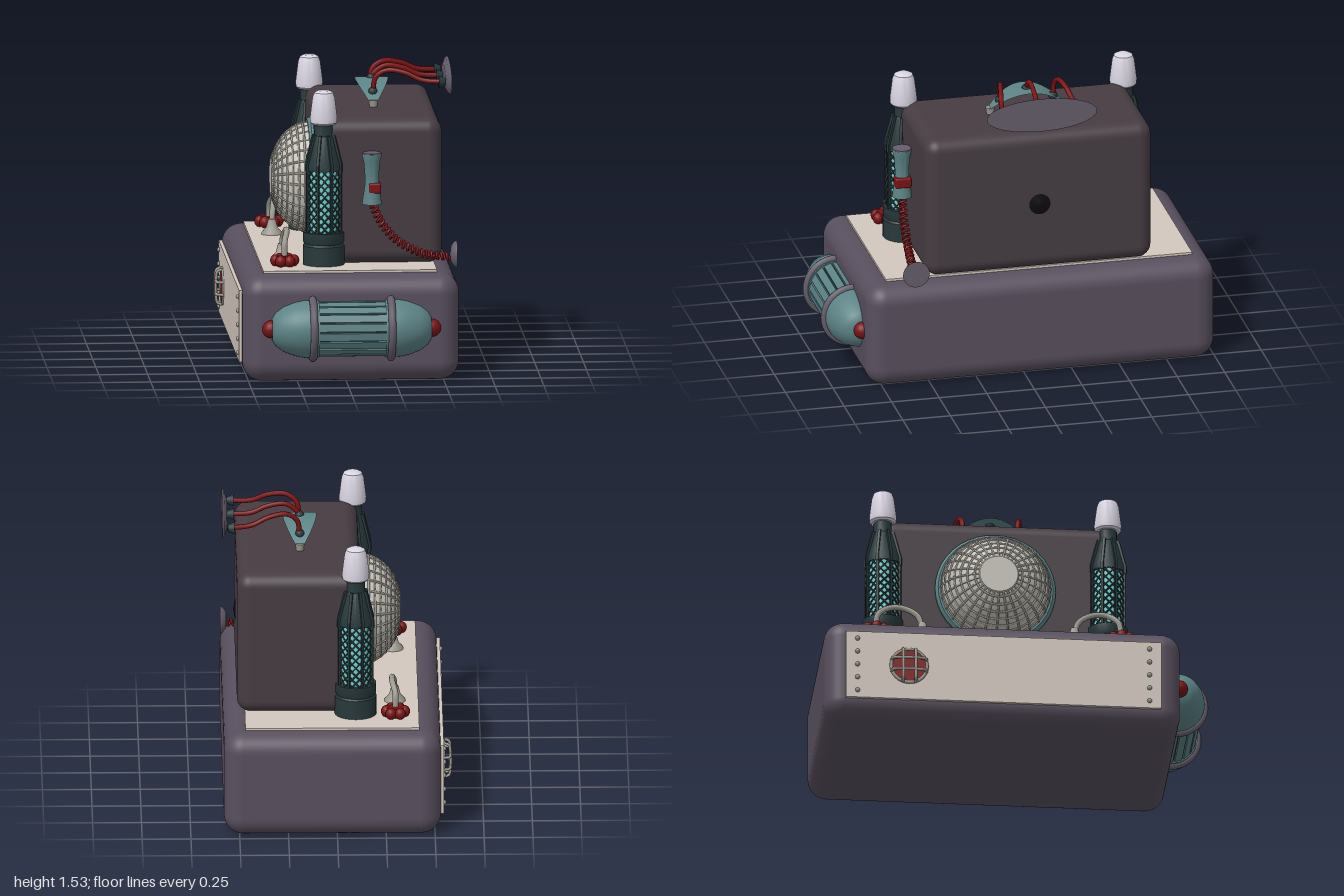
import * as THREE from 'three';
import { RoundedBoxGeometry } from 'three/addons/geometries/RoundedBoxGeometry.js';
import { toCreasedNormals } from 'three/addons/utils/BufferGeometryUtils.js';

const mat = (color, side = THREE.FrontSide) => new THREE.MeshStandardMaterial({ color, side });
const M = {
  shell: mat(0x584f5e), box: mat(0x463c42), cream: mat(0xd3c8be), teal: mat(0x5c8386, THREE.DoubleSide),
  dark: mat(0x27383b), red: mat(0x7c1214), grey: mat(0x9c9a90), pale: mat(0xc9c5bd), white: mat(0xd9d5e2),
  glow: mat(0x74d2d2), black: mat(0x0c0c0c), purple: mat(0x655d6b, THREE.DoubleSide),
};
const V = (x, y, z) => new THREE.Vector3(x, y, z);

function add(parent, name, geo, material, x = 0, y = 0, z = 0) {
  const m = new THREE.Mesh(geo, material);
  m.name = name;
  m.position.set(x, y, z);
  parent.add(m);
  return m;
}
function group(parent, name, x = 0, y = 0, z = 0) {
  const g = new THREE.Group();
  g.name = name;
  g.position.set(x, y, z);
  parent.add(g);
  return g;
}
const cyl = (rTop, rBottom, h, n = 32) => new THREE.CylinderGeometry(rTop, rBottom, h, n);
const lathe = (pts, n = 40) =>
  toCreasedNormals(new THREE.LatheGeometry(pts.map(p => new THREE.Vector2(...p)), n), 0.6);
const tube = (pts, r, n = 24, sides = 8) =>
  new THREE.TubeGeometry(new THREE.CatmullRomCurve3(pts), n, r, sides);

// Tower: footing, glowing core in a diamond mesh, buttressed cone and white bulb
function tower(parent, name, z) {
  const g = group(parent, name, -0.097, 0, z);
  add(g, 'footing', lathe([[0, 0.55], [0.107, 0.55], [0.107, 0.66], [0.1, 0.67], [0.105, 0.68], [0.105, 0.73], [0, 0.73]], 24), M.dark);
  add(g, 'core', cyl(0.08, 0.08, 0.34), M.glow, 0, 0.895, 0);
  const n = 14;
  for (let k = 0; k < n; k++) for (const dir of [-1, 1]) {
    const pts = [];
    for (let i = 0; i <= 16; i++) {
      const a = Math.PI * 2 * (k + dir * 8 * i / 16) / n;
      pts.push(V(0.087 * Math.cos(a), 0.73 + 0.33 * i / 16, 0.087 * Math.sin(a)));
    }
    add(g, 'meshWire', tube(pts, 0.0045, 24, 4), M.dark);
  }
  const fin = new THREE.Shape([[0.03, 1.04], [0.1, 1.04], [0.1, 1.08], [0.062, 1.23], [0.03, 1.23]].map(p => new THREE.Vector2(...p)));
  for (let k = 0; k < 8; k++) {
    const spoke = group(g, 'buttress');
    spoke.rotation.y = (k + 0.5) * Math.PI / 4;
    add(spoke, 'rib', new THREE.BoxGeometry(0.014, 0.34, 0.012), M.dark, 0.09, 0.895, 0);
    add(spoke, 'fin', new THREE.ExtrudeGeometry(fin, { depth: 0.014, bevelEnabled: false }), M.dark, 0, 0, -0.007);
  }
  add(g, 'cone', lathe([[0, 1.05], [0.092, 1.05], [0.09, 1.08], [0.052, 1.22], [0.047, 1.225], [0.047, 1.3], [0, 1.3]], 16), M.dark);
  add(g, 'bulb', lathe([[0, 1.285], [0.058, 1.285], [0.068, 1.295], [0.07, 1.32], [0.057, 1.425], [0.048, 1.45], [0.03, 1.46], [0, 1.46]]), M.white);
}

// Red six-lobed knob with a grey spout arching to a flared bell
function tap(parent, name, zKnob, zBell) {
  const g = group(parent, name, -0.3, 0.56, 0);
  for (let k = 0; k < 6; k++) {
    const a = k * Math.PI / 3;
    const lobe = add(g, 'knobLobe', new THREE.SphereGeometry(0.028, 14, 10), M.red, 0.047 * Math.cos(a), 0.03, zKnob + 0.047 * Math.sin(a));
    lobe.scale.y = 1.1;
  }
  add(g, 'knobHub', cyl(0.045, 0.045, 0.05, 18), M.red, 0, 0.03, zKnob);
  const at = t => zKnob + (zBell - zKnob) * t;
  add(g, 'spout', tube([V(0, 0.04, at(0)), V(0, 0.12, at(0.05)), V(0.015, 0.165, at(0.3)), V(0.015, 0.165, at(0.6)), V(0.005, 0.12, at(0.9)), V(0, 0.05, at(1))], 0.015), M.grey);
  add(g, 'bell', lathe([[0, 0], [0.055, 0], [0.052, 0.012], [0.03, 0.035], [0.018, 0.08], [0, 0.08]], 24), M.grey, 0, 0, zBell);
}

// Shallow cap with its flat face towards +x
function cap(parent, name, depth, ry, rz, x, y, z) {
  const m = add(parent, name, lathe([[0, 0], [0.6, 0.15], [0.92, 0.6], [1, 1], [0, 1]]), M.purple, x - depth, y, z);
  m.rotation.z = -Math.PI / 2;
  m.scale.set(ry, depth, rz);
}

// Gridded dome bulging towards -x
function dome(parent) {
  const g = group(parent, 'dome', -0.12, 0.92, -0.09);
  g.rotation.z = Math.PI / 2;
  const R = 0.285, D = 0.222, end = 1.2;
  const at = (t, e = 0) => [(R + e) * Math.cos(t), (D + e) * Math.sin(t)];
  add(g, 'flange', lathe([[0.2, 0], [0.31, 0], [0.31, 0.012], [0.295, 0.025], [0.27, 0.025]]), M.teal);
  const skin = [];
  for (let i = 0; i <= 12; i++) skin.push(at(end * i / 12));
  add(g, 'domeSkin', lathe(skin, 48), M.pale);
  for (let k = 0; k < 28; k++) {
    const a = k * Math.PI / 14;
    const pts = [0, 0.25, 0.5, 0.75, 1].map(t => {
      const [r, y] = at(end * t);
      return V(r * Math.cos(a), y, r * Math.sin(a));
    });
    add(g, 'meridian', tube(pts, 0.006, 12, 5), M.grey);
  }
  for (let i = 0; i < 8; i++) {
    const [r, y] = at(end * (i + 0.5) / 8);
    add(g, 'parallel', new THREE.TorusGeometry(r, 0.006, 5, 48), M.grey, 0, y, 0).rotation.x = Math.PI / 2;
  }
  const [re, ye] = at(end);
  add(g, 'domeTip', cyl(re - 0.005, re + 0.005, 0.014), M.pale, 0, ye - 0.001, 0);
}

// Horizontal canister on the front with ribs, two hoops and red tips
function canister(parent) {
  const g = group(parent, 'canister', 0.025, 0.28, 0.83);
  g.rotation.z = -Math.PI / 2;
  add(g, 'canisterCore', cyl(0.132, 0.132, 0.4), M.dark);
  for (let k = 0; k < 18; k++) {
    const s = group(g, 'slat');
    s.rotation.y = k * Math.PI / 9;
    add(s, 'slatBar', new THREE.BoxGeometry(0.02, 0.4, 0.04), M.teal, 0.131, 0, 0);
  }
  for (const side of [0, Math.PI]) {
    const e = group(g, 'canisterEnd');
    e.rotation.z = side;
    add(e, 'endDome', lathe([[0.1, 0.17], [0.148, 0.17], [0.148, 0.24], [0.138, 0.29], [0.115, 0.35], [0.085, 0.39], [0.055, 0.408], [0, 0.408]]), M.teal);
    add(e, 'endTip', new THREE.SphereGeometry(0.046, 20, 14), M.red, 0, 0.412, 0);
    add(e, 'hoop', new THREE.TorusGeometry(0.15, 0.02, 10, 40), M.purple, 0, 0.2, 0).rotation.x = Math.PI / 2;
  }
}

// Arched leaf bracket with three cables running to an oval dish
function antenna(parent) {
  const g = group(parent, 'antenna', 0.183, 0, -0.09);
  const leaf = new THREE.PlaneGeometry(2, 2, 8, 24);
  const p = leaf.attributes.position;
  for (let i = 0; i < p.count; i++) {
    const u = p.getX(i), t = p.getY(i), h = 1 - t * t;
    p.setXYZ(i, u * (0.02 + 0.067 * h), 1.335 + 0.098 * h, -t * 0.2);
  }
  leaf.computeVertexNormals();
  add(g, 'leafBracket', leaf, M.teal);
  for (const s of [-1, 1]) add(g, 'bracketFoot', cyl(0.024, 0.018, 0.045, 16), M.grey, 0, 1.322, s * 0.19);
  for (const s of [-1, 0, 1]) {
    const z0 = s * 0.14, z1 = s * 0.21, y0 = s ? 1.38 : 1.43;
    const zAt = t => z0 + (z1 - z0) * t;
    add(g, 'cableSocket', new THREE.SphereGeometry(0.024, 14, 10), M.dark, 0, y0, z0);
    add(g, 'cable', tube([V(0, y0, z0), V(0.015, 1.455, zAt(0.05)), V(0.07, 1.492, zAt(0.2)), V(0.16, 1.482, zAt(0.45)), V(0.25, 1.445, zAt(0.7)), V(0.37, 1.438, z1)], 0.013, 32), M.red);
    add(g, 'cablePlug', cyl(0.018, 0.032, 0.035, 16), M.dark, 0.352, 1.438, z1).rotation.z = -Math.PI / 2;
  }
  cap(parent, 'dish', 0.03, 0.09, 0.29, 0.58, 1.44, -0.08);
}

// Flared handset with a coiled cord ending in a round plug
function handset(parent) {
  const g = group(parent, 'handset', 0.146, 0, 0.555);
  add(g, 'handsetBody', lathe([[0, 0.88], [0.05, 0.88], [0.048, 0.9], [0.036, 0.98], [0.036, 1.03], [0.042, 1.1], [0.05, 1.13], [0.05, 1.14], [0, 1.14]], 28), M.teal);
  add(g, 'handsetTop', cyl(0.048, 0.05, 0.01), M.purple, 0, 1.141, 0);
  add(g, 'handsetBand', new RoundedBoxGeometry(0.062, 0.055, 0.085, 2, 0.01), M.red, 0.014, 0.965, 0);
  const path = new THREE.CatmullRomCurve3([V(0.15, 0.88, 0.555), V(0.19, 0.79, 0.557), V(0.27, 0.695, 0.56), V(0.4, 0.625, 0.567), V(0.55, 0.605, 0.58)]);
  const pts = [], n = 240, turns = 20;
  for (let i = 0; i <= n; i++) {
    const c = path.getPointAt(i / n), t = path.getTangentAt(i / n), a = turns * Math.PI * 2 * i / n;
    const side = V(-t.y, t.x, 0).normalize(), up = t.clone().cross(side);
    pts.push(c.addScaledVector(side, 0.017 * Math.cos(a)).addScaledVector(up, 0.017 * Math.sin(a)));
  }
  add(parent, 'coiledCord', tube(pts, 0.007, 420, 6), M.red);
  cap(parent, 'cordPlug', 0.035, 0.07, 0.07, 0.58, 0.62, 0.58);
}

// Riveted side plate with a caged red vent
function sidePanel(parent) {
  const g = group(parent, 'sidePanel', -0.535, 0.28, -0.085);
  add(g, 'panelPlate', new THREE.BoxGeometry(0.022, 0.37, 1.62), M.cream);
  for (const z of [-0.75, 0.75]) for (let k = -2; k <= 2; k++)
    add(g, 'rivet', new THREE.SphereGeometry(0.013, 10, 8), M.grey, -0.011, k * 0.073, z);
  const v = group(g, 'vent', -0.012, 0, -0.485);
  add(v, 'ventDisc', cyl(0.09, 0.09, 0.012), M.red).rotation.z = Math.PI / 2;
  add(v, 'ventRim', new THREE.TorusGeometry(0.092, 0.009, 8, 32), M.grey).rotation.y = Math.PI / 2;
  for (const turn of [0, Math.PI / 2]) for (const o of [-0.032, 0.032]) {
    const bar = add(v, 'cageBar', tube([V(0, -0.09, o), V(-0.028, -0.082, o), V(-0.036, -0.04, o), V(-0.036, 0.04, o), V(-0.028, 0.082, o), V(0, 0.09, o)], 0.008), M.grey);
    bar.rotation.x = turn;
  }
}

export function createModel() {
  const root = new THREE.Group();
  root.name = 'machine';
  // Housing
  add(root, 'base', new RoundedBoxGeometry(1.11, 0.55, 1.83, 6, 0.1), M.shell, 0.025, 0.275, -0.085);
  add(root, 'topPlate', new THREE.BoxGeometry(0.89, 0.03, 1.61), M.cream, 0.025, 0.547, -0.09);
  add(root, 'upperBox', new RoundedBoxGeometry(0.63, 0.75, 1.19, 6, 0.07), M.box, 0.195, 0.935, -0.085);
  add(root, 'sidePort', new THREE.ConeGeometry(0.06, 0.014, 28), M.black, 0.516, 0.92, -0.085).rotation.z = -Math.PI / 2;
  // Fittings
  dome(root);
  tower(root, 'frontTower', 0.49);
  tower(root, 'backTower', -0.665);
  tap(root, 'frontTap', 0.54, 0.3);
  tap(root, 'backTap', -0.72, -0.48);
  canister(root);
  antenna(root);
  handset(root);
  sidePanel(root);
  return root;
}
